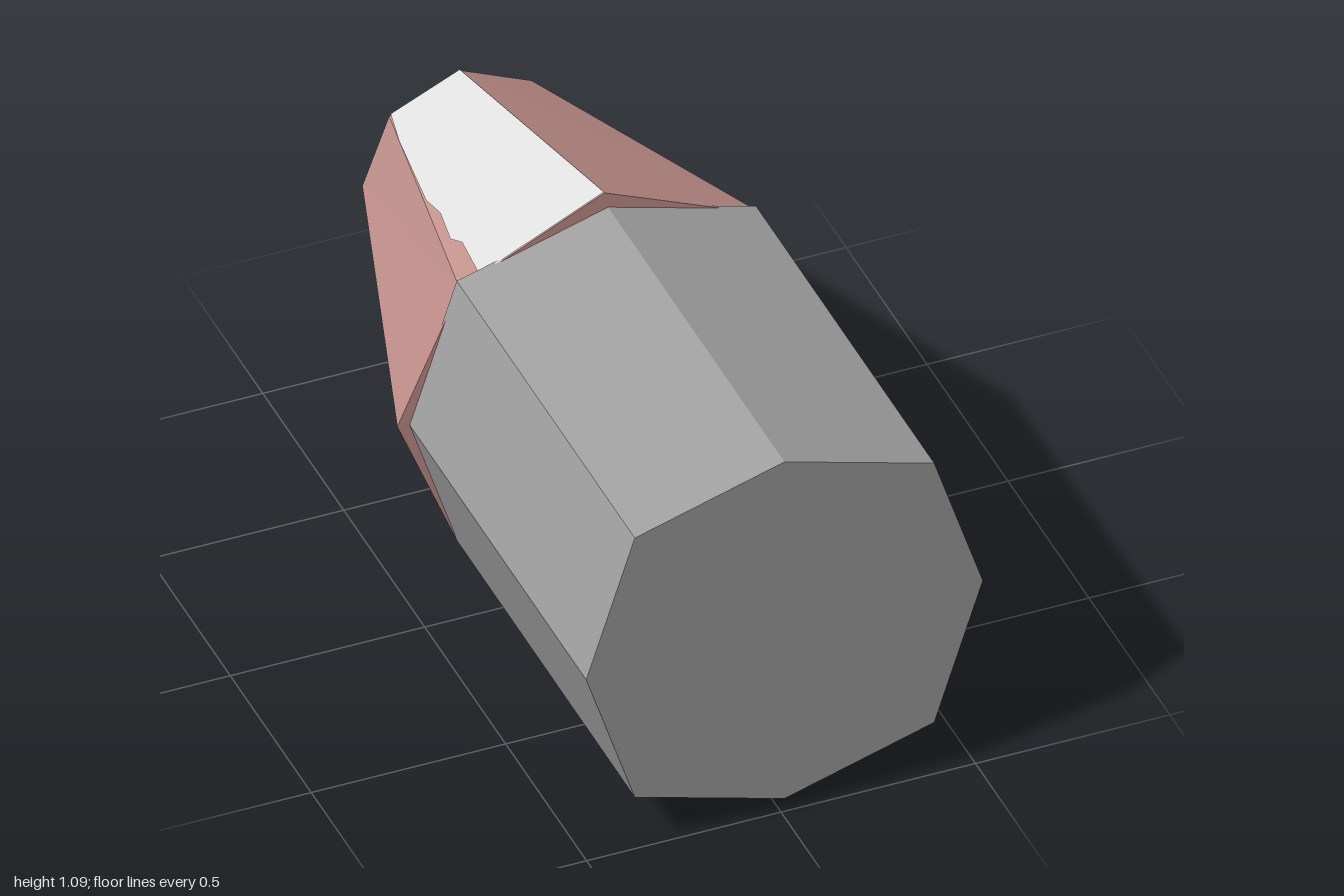
import * as THREE from 'three';

const mat = (name, color) => {
  const m = new THREE.MeshStandardMaterial({ color });
  m.name = name;
  return m;
};

// Octagon, counter-clockwise seen from the front: axial and diagonal corners differ in reach
function octagon(cx, cy, axialX, axialY, diagX, diagY, z) {
  const a = [[axialX, 0], [diagX, diagY], [0, axialY], [-diagX, diagY],
    [-axialX, 0], [-diagX, -diagY], [0, -axialY], [diagX, -diagY]];
  return a.map(([x, y]) => new THREE.Vector3(cx + x, cy + y, z));
}

function geometryFrom(points) {
  const g = new THREE.BufferGeometry().setFromPoints(points);
  g.computeVertexNormals();
  return g;
}

// Closed solid between a front and a back octagon
function loft(front, back) {
  const pts = [];
  for (let i = 0; i < 8; i++) {
    const j = (i + 1) % 8;
    pts.push(front[i], back[i], back[j], front[i], back[j], front[j]);
    if (i > 0 && i < 7) pts.push(front[0], front[i], front[j], back[0], back[j], back[i]);
  }
  return geometryFrom(pts);
}

// Flat paint as a fan around the middle of its outline
function fan(outline) {
  const mid = new THREE.Vector3();
  outline.forEach((p) => mid.addScaledVector(p, 1 / outline.length));
  const pts = [];
  outline.forEach((p, i) => pts.push(mid, p, outline[(i + 1) % outline.length]));
  return geometryFrom(pts);
}

export function createModel() {
  const group = new THREE.Group();
  const grey = mat('body grey', 0xa0a0a0);
  const pink = mat('dusty pink', 0xc8958f);
  const white = mat('off white', 0xe6e6e6);
  const add = (name, geometry, material) => {
    const mesh = new THREE.Mesh(geometry, material);
    mesh.name = name;
    group.add(mesh);
  };

  // Straight eight-sided body
  add('body', loft(
    octagon(0.009, 0.535, 0.51, 0.5, 0.385, 0.385, 1),
    octagon(0.009, 0.535, 0.51, 0.5, 0.385, 0.385, -0.1)), grey);

  // Tapered nose
  const base = octagon(0, 0.54, 0.533, 0.54, 0.388, 0.362, -0.09);
  const tip = octagon(0.008, 0.54, 0.252, 0.27, 0.183, 0.187, -1);
  base[1].x = 0.405;
  base[3].x = -0.372;
  add('nose', loft(base, tip), pink);

  // White paint on every second side, as [across, along] outlines with uneven edges
  const outlines = {
    0: [[0.1, 0], [0.1, 0.14], [0.03, 0.2], [0.03, 0.85], [0.04, 0.94], [0.1, 0.97],
      [0.9, 0.97], [0.98, 0.93], [0.97, 0.7], [0.88, 0.5], [0.87, 0.36], [0.98, 0.2], [0.99, 0]],
    2: [[0, 0], [0, 1], [0.97, 1], [1, 0.85], [0.98, 0.5], [0.92, 0.4], [0.93, 0.25], [0.87, 0.2], [0.86, 0]],
    4: [[0.06, 0], [0.03, 0.35], [0.08, 0.6], [0.03, 0.8], [0, 1], [1, 1], [1, 0]],
    6: [[0, 0], [0, 1], [1, 1], [0.99, 0.75], [0.88, 0.5], [0.85, 0.3], [0.84, 0]],
  };
  for (const [key, outline] of Object.entries(outlines)) {
    const i = Number(key), j = (i + 1) % 8;
    const along = tip[i].clone().sub(base[i]);
    const lift = along.cross(base[j].clone().sub(base[i])).normalize().multiplyScalar(0.003);
    add('nosePaint', fan(outline.map(([u, t]) => {
      const p = base[i].clone().lerp(base[j], u);
      return p.lerp(tip[i].clone().lerp(tip[j], u), t).add(lift);
    })), white);

    // Small spill of white over the rim of the tip
    const centre = new THREE.Vector3(0.008, 0.54, -1);
    const spill = [[0.02, 0], [0.12, 0.1], [0.35, 0.12], [0.5, 0]].map(([u, inward]) => {
      const p = tip[i].clone().lerp(tip[j], u).lerp(centre, inward);
      p.z -= 0.002;
      return p;
    });
    add('tipPaint', fan(spill.reverse()), white);
  }
  return group;
}
